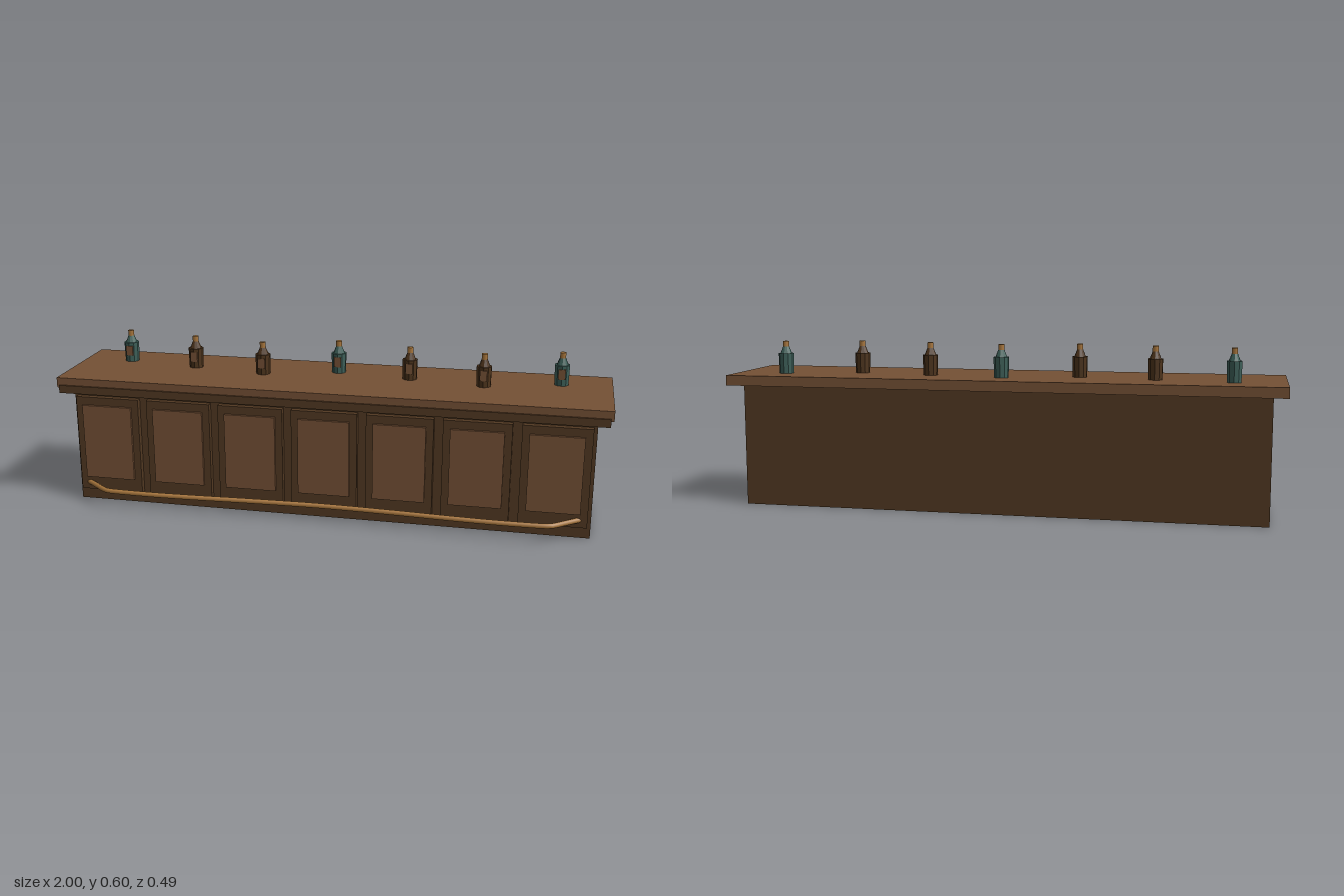
import * as THREE from 'three';

const mat = (name, color, flatShading = false) => {
  const m = new THREE.MeshStandardMaterial({ color, flatShading });
  m.name = name;
  return m;
};

export function createModel() {
  const group = new THREE.Group();
  const darkWood = mat('dark wood', 0x523922);
  const lightWood = mat('light wood', 0x755135);
  const brass = mat('brass', 0xa8763c);
  const brownGlass = mat('brown glass', 0x4d341c);
  const tealGlass = mat('teal glass', 0x3d5f58);

  const add = (name, geometry, material, parent = group) => {
    const mesh = new THREE.Mesh(geometry, material);
    mesh.name = name;
    parent.add(mesh);
    return mesh;
  };
  // Box given by its limits on each axis
  const box = (name, material, x0, x1, y0, y1, z0, z1, parent) => {
    const g = new THREE.BoxGeometry(x1 - x0, y1 - y0, z1 - z0);
    g.translate((x0 + x1) / 2, (y0 + y1) / 2, (z0 + z1) / 2);
    return add(name, g, material, parent);
  };

  // Counter body, top and the moulding under the front edge
  box('body', darkWood, -0.95, 0.95, 0, 0.447, -0.201, 0.135);
  box('counterTop', lightWood, -1, 1, 0.447, 0.484, -0.245, 0.177);
  box('frontMoulding', darkWood, -0.99, 0.99, 0.428, 0.457, 0.158, 0.184);

  // Seven raised front panels
  const pitch = 0.2725;
  for (let i = -3; i <= 3; i++) {
    const x = i * pitch;
    const panel = new THREE.Group();
    panel.name = 'frontPanel';
    box('panelFrame', darkWood, x - 0.12, x + 0.12, 0.047, 0.41, 0.13, 0.158, panel);
    box('panelInset', lightWood, x - 0.094, x + 0.094, 0.099, 0.38, 0.155, 0.168, panel);
    group.add(panel);
  }

  // Foot rail, bent to the wall at both ends
  const half = [[0.93, 0.135], [0.87, 0.183], [0.815, 0.226], [0.8, 0.23], [0.65, 0.2345], [0.5, 0.231], [0.25, 0.219]];
  const points = [
    ...half.map(([x, z]) => new THREE.Vector3(-x, 0.074, z)),
    new THREE.Vector3(0, 0.074, 0.212),
    ...half.slice().reverse().map(([x, z]) => new THREE.Vector3(x, 0.074, z)),
  ];
  add('footRail', new THREE.TubeGeometry(new THREE.CatmullRomCurve3(points), 120, 0.0095, 8), brass);

  // Bottles in three staggered rows
  const profile = [[0, 0], [0.026, 0], [0.028, 0.074], [0.021, 0.074], [0.011, 0.099], [0, 0.099]]
    .map(([r, y]) => new THREE.Vector2(r, y));
  const bottleGeometry = new THREE.LatheGeometry(profile, 10).toNonIndexed();
  bottleGeometry.computeVertexNormals();
  for (let i = 0; i < 7; i++) {
    const bottle = new THREE.Group();
    bottle.name = 'bottle';
    bottle.position.set((i - 3) * pitch, 0.484, [-0.115, -0.077, -0.039][i % 3]);
    add('bottleGlass', bottleGeometry, i % 3 ? brownGlass : tealGlass, bottle);
    add('cork', new THREE.CylinderGeometry(0.011, 0.011, 0.02, 10), brass, bottle).position.y = 0.109;
    box('label', lightWood, -0.013, 0.013, 0.025, 0.062, 0.022, 0.029, bottle);
    group.add(bottle);
  }
  return group;
}
